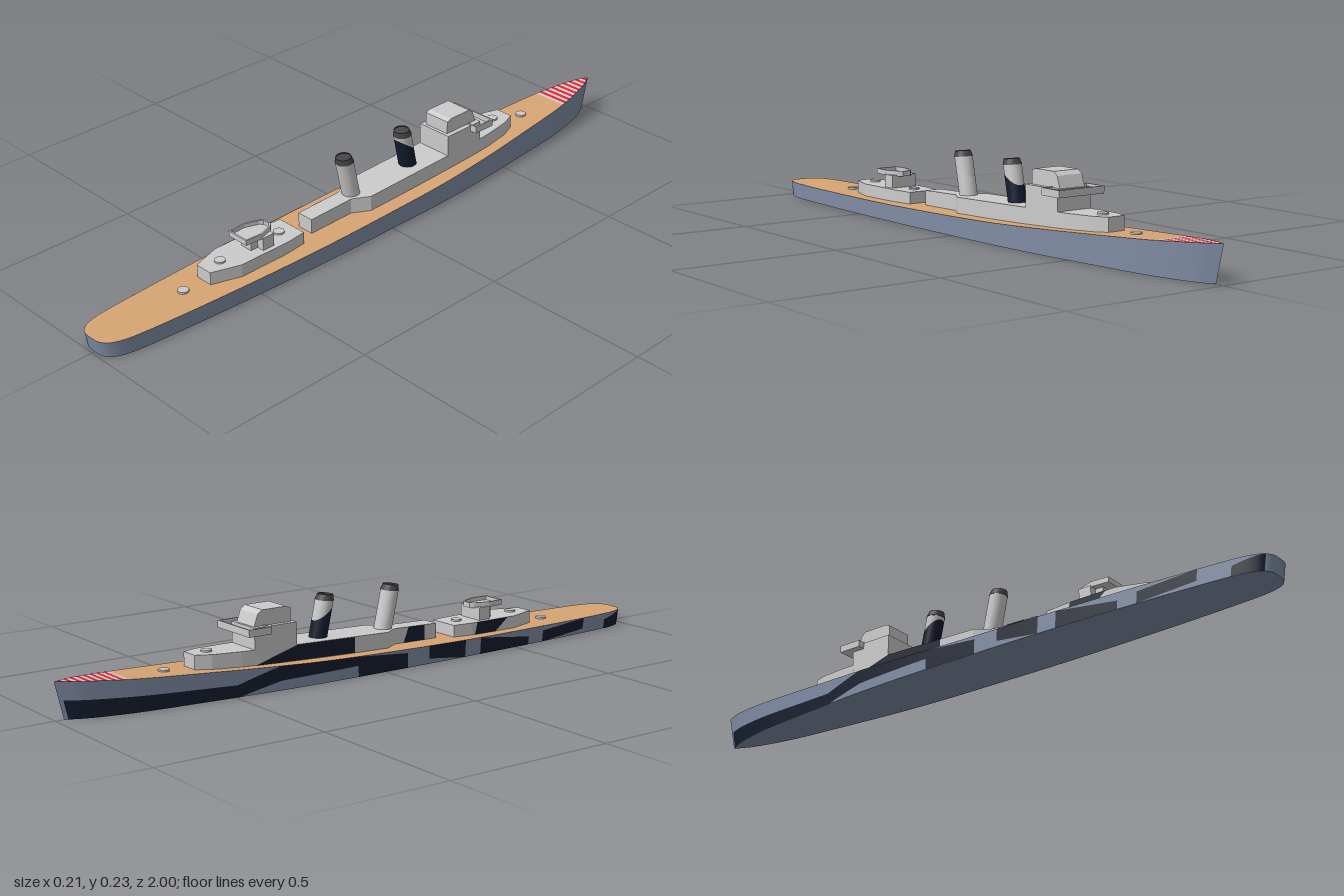
import * as THREE from 'three';

const mat = (color) => new THREE.MeshStandardMaterial({ color, side: THREE.DoubleSide });
const GREY = mat(0xcccccc), HULL = mat(0x7f8ca5), NAVY = mat(0x141c2e);
const DECK = mat(0xd6a473), RED = mat(0xe0202f), BLACK = mat(0x454545);
const OX = -0.003; // superstructure centre line

// Deck edge from stern to bow: half width, height, z
const EDGE = new THREE.CatmullRomCurve3([
  [0, 0.048, 1], [0.03, 0.048, 0.997], [0.052, 0.048, 0.98], [0.068, 0.048, 0.94], [0.076, 0.048, 0.88],
  [0.085, 0.048, 0.75], [0.093, 0.049, 0.6], [0.1, 0.05, 0.4], [0.104, 0.053, 0.2], [0.104, 0.057, 0],
  [0.103, 0.063, -0.2], [0.094, 0.072, -0.4], [0.077, 0.082, -0.6], [0.057, 0.093, -0.8],
  [0.037, 0.1, -0.9], [0.023, 0.103, -0.95], [0, 0.106, -1],
].map((p) => new THREE.Vector3(...p))).getPoints(96);

// Deck edge point at any z
function edgeAt(z) {
  let i = 1;
  while (i < EDGE.length - 1 && EDGE[i].z > z) i++;
  const a = EDGE[i - 1], b = EDGE[i];
  return a.clone().lerp(b, THREE.MathUtils.clamp((a.z - z) / (a.z - b.z), 0, 1));
}

// Point on the hull side: v = 0 at the keel, 1 at the deck
function sidePoint(e, side, v, out = 0) {
  const foot = e.z < 0 ? 0.975 : 0.992;
  return [side * (e.x + out), e.y * v, e.z * (foot + (1 - foot) * v)];
}

// Surface through rows of points
function loft(rows) {
  const n = rows[0].length, index = [];
  for (let i = 0; i < rows.length - 1; i++) {
    for (let j = 0; j < n - 1; j++) {
      const a = i * n + j, b = a + 1, c = a + n, d = c + 1;
      index.push(a, c, b, b, c, d);
    }
  }
  const g = new THREE.BufferGeometry();
  g.setAttribute('position', new THREE.Float32BufferAttribute(rows.flat(2), 3));
  g.setIndex(index);
  g.computeVertexNormals();
  return g;
}

// Prism from a mirrored plan of [z, half width]; slope raises the top towards the bow
function prism(half, y0, y1, slope = 0, hole = null) {
  const ring = (pts, k = 1) => [
    ...pts.map(([z, x]) => new THREE.Vector2(x * k, -z)),
    ...pts.slice().reverse().map(([z, x]) => new THREE.Vector2(-x * k, -z)),
  ];
  const shape = new THREE.Shape(ring(half));
  if (hole) shape.holes.push(new THREE.Path(ring(hole)));
  const g = new THREE.ExtrudeGeometry(shape, { depth: y1 - y0, bevelEnabled: false });
  g.rotateX(-Math.PI / 2).translate(OX, y0, 0);
  const p = g.attributes.position, zEnd = half[half.length - 1][0];
  for (let i = 0; i < p.count; i++) {
    if (p.getY(i) > y1 - 1e-4) p.setY(i, p.getY(i) + slope * (zEnd - p.getZ(i)));
  }
  g.computeVertexNormals();
  return g;
}

export function createModel() {
  const ship = new THREE.Group();
  ship.name = 'warship';
  const add = (name, geometry, material = GREY, parent = ship) => {
    const m = new THREE.Mesh(geometry, material);
    m.name = name;
    parent.add(m);
    return m;
  };
  const box = (name, x0, x1, y0, y1, z0, z1) => add(name, new THREE.BoxGeometry(x1 - x0, y1 - y0, z1 - z0)
    .translate((x0 + x1) / 2 + OX, (y0 + y1) / 2, (z0 + z1) / 2));

  // Hull
  add('hullRightSide', loft(EDGE.map((e) => [sidePoint(e, -1, 1), sidePoint(e, -1, 0)])), HULL);
  add('hullLeftSide', loft(EDGE.map((e) => [sidePoint(e, 1, 0), sidePoint(e, 1, 1)])), HULL);
  add('hullBottom', loft(EDGE.map((e) => [sidePoint(e, -1, 0), sidePoint(e, 1, 0)])), HULL);

  // Deck, with a striped bow
  const deckStrip = (name, z0, z1, material) => {
    const rows = [edgeAt(z0), ...EDGE.filter((e) => e.z < z0 && e.z > z1), edgeAt(z1)];
    add(name, loft(rows.map((e) => [[e.x, e.y, e.z], [-e.x, e.y, e.z]])), material);
  };
  deckStrip('deck', 1, -0.81, DECK);
  const stripes = 17, pitch = 0.19 / stripes;
  for (let i = 0; i < stripes; i++) {
    deckStrip('bowStripe', -0.81 - i * pitch, -0.81 - (i + 1) * pitch, i % 2 ? RED : GREY);
  }

  // Dark camouflage on the right side: z start, z end, then low/high at each end
  const patches = [
    [-0.5, -0.99, 0, 0.45, 0, 0.5], [-0.36, -0.5, 0.4, 1, 0, 0.45], [-0.1, -0.36, 0.55, 1, 0.4, 1],
    [0.08, -0.1, 0, 0.8, 0, 1], [0.3, 0.16, 0, 1, 0.3, 1], [0.56, 0.36, 0, 0.5, 0, 1],
    [0.8, 0.62, 0.3, 1, 0, 0.7], [0.985, 0.9, 0, 1, 0, 0.6],
  ];
  for (const [z0, z1, lo0, hi0, lo1, hi1] of patches) {
    const rows = [];
    for (let i = 0; i <= 16; i++) {
      const t = i / 16, e = edgeAt(z0 + (z1 - z0) * t);
      rows.push([sidePoint(e, -1, hi0 + (hi1 - hi0) * t, 0.001), sidePoint(e, -1, lo0 + (lo1 - lo0) * t, 0.001)]);
    }
    add('camouflagePatch', loft(rows), NAVY);
  }

  // Forward house
  add('forwardHouse', prism([[-0.595, 0.028], [-0.55, 0.045], [-0.46, 0.056], [-0.4, 0.058],
    [0.04, 0.058], [0.09, 0.027], [0.245, 0.027]], 0.045, 0.097, 0.03), GREY);
  const wallPatch = (x, a, b, c, d) => add('wallPatch', loft([[[x, a[1], a[0]], [x, b[1], b[0]]],
    [[x, d[1], d[0]], [x, c[1], c[0]]]]), NAVY);
  wallPatch(OX - 0.059, [-0.08, 0.106], [-0.08, 0.06], [-0.42, 0.072], [-0.28, 0.112]);
  wallPatch(OX - 0.028, [0.2, 0.098], [0.2, 0.05], [0.12, 0.05], [0.14, 0.1]);

  // Bridge
  box('bridgeBase', -0.058, 0.058, 0.1, 0.178, -0.42, -0.28);
  const wing = [[-0.452, 0.08], [-0.378, 0.08]], wingInside = [[-0.447, 0.075], [-0.383, 0.075]];
  add('bridgeWingFloor', prism(wing, 0.16, 0.165));
  add('bridgeWingRail', prism(wing, 0.165, 0.181, 0, wingInside));
  const tower = new THREE.Shape([[0.29, 0.176], [0.29, 0.217], [0.305, 0.223], [0.385, 0.223], [0.4, 0.212],
    [0.413, 0.176]].map((p) => new THREE.Vector2(...p)));
  add('bridgeTower', new THREE.ExtrudeGeometry(tower, { depth: 0.087, bevelEnabled: false })
    .rotateY(Math.PI / 2).translate(-0.0435 + OX, 0, 0));

  // Raked funnels
  const funnel = (name, z, y0, lowerMaterial) => {
    const g = new THREE.Group();
    g.name = name;
    const y1 = 0.214, lean = 0.22;
    // Ring cut at a height that may slope along z, then sheared aft
    const section = (part, a, b, r0, r1, cut0, cut1, material, open = true) => {
      const geo = new THREE.CylinderGeometry(r1, r0, b - a, 24, 1, open).translate(0, (a + b) / 2, 0);
      const p = geo.attributes.position;
      for (let i = 0; i < p.count; i++) {
        const y = p.getY(i) + p.getZ(i) * (p.getY(i) > (a + b) / 2 ? cut1 : cut0);
        p.setXYZ(i, p.getX(i), y, p.getZ(i) + (y - y0) * lean);
      }
      geo.computeVertexNormals();
      add(part, geo, material, g);
    };
    section('funnelLower', y0, 0.18, 0.027, 0.027, 0, 0.8, lowerMaterial);
    section('funnelUpper', 0.18, y1, 0.027, 0.027, 0.8, -0.1, GREY);
    section('funnelCap', y1, 0.231, 0.028, 0.023, -0.1, -0.1, BLACK);
    section('funnelMouth', 0.224, 0.226, 0.024, 0.024, -0.1, -0.1, BLACK, false);
    g.position.set(OX - 0.001, 0, z);
    ship.add(g);
  };
  funnel('forwardFunnel', -0.169, 0.105, NAVY);
  funnel('aftFunnel', 0.064, 0.098, GREY);

  // Aft house with its gun tub
  add('aftHouse', prism([[0.295, 0.05], [0.36, 0.057], [0.53, 0.057], [0.618, 0.028]], 0.045, 0.087));
  wallPatch(OX - 0.0585, [0.5, 0.087], [0.45, 0.048], [0.37, 0.048], [0.38, 0.087]);
  box('tubPedestal', -0.043, 0.043, 0.086, 0.126, 0.4, 0.44);
  box('tubColumn', -0.02, 0.02, 0.086, 0.126, 0.44, 0.465);
  const tub = [[0.385, 0.014], [0.395, 0.024], [0.44, 0.04], [0.495, 0.036]];
  add('tubFloor', prism(tub, 0.123, 0.127));
  add('tubWall', prism(tub, 0.127, 0.139, 0, [[0.39, 0.011], [0.399, 0.02], [0.441, 0.035], [0.49, 0.032]]));

  // Round gun mounts
  for (const [z, y] of [[-0.675, 0.086], [-0.54, 0.121], [0.345, 0.087], [0.56, 0.087], [0.69, 0.049]]) {
    add('gunMount', new THREE.CylinderGeometry(0.016, 0.016, 0.01, 20).translate(OX, y, z));
  }
  return ship;
}
